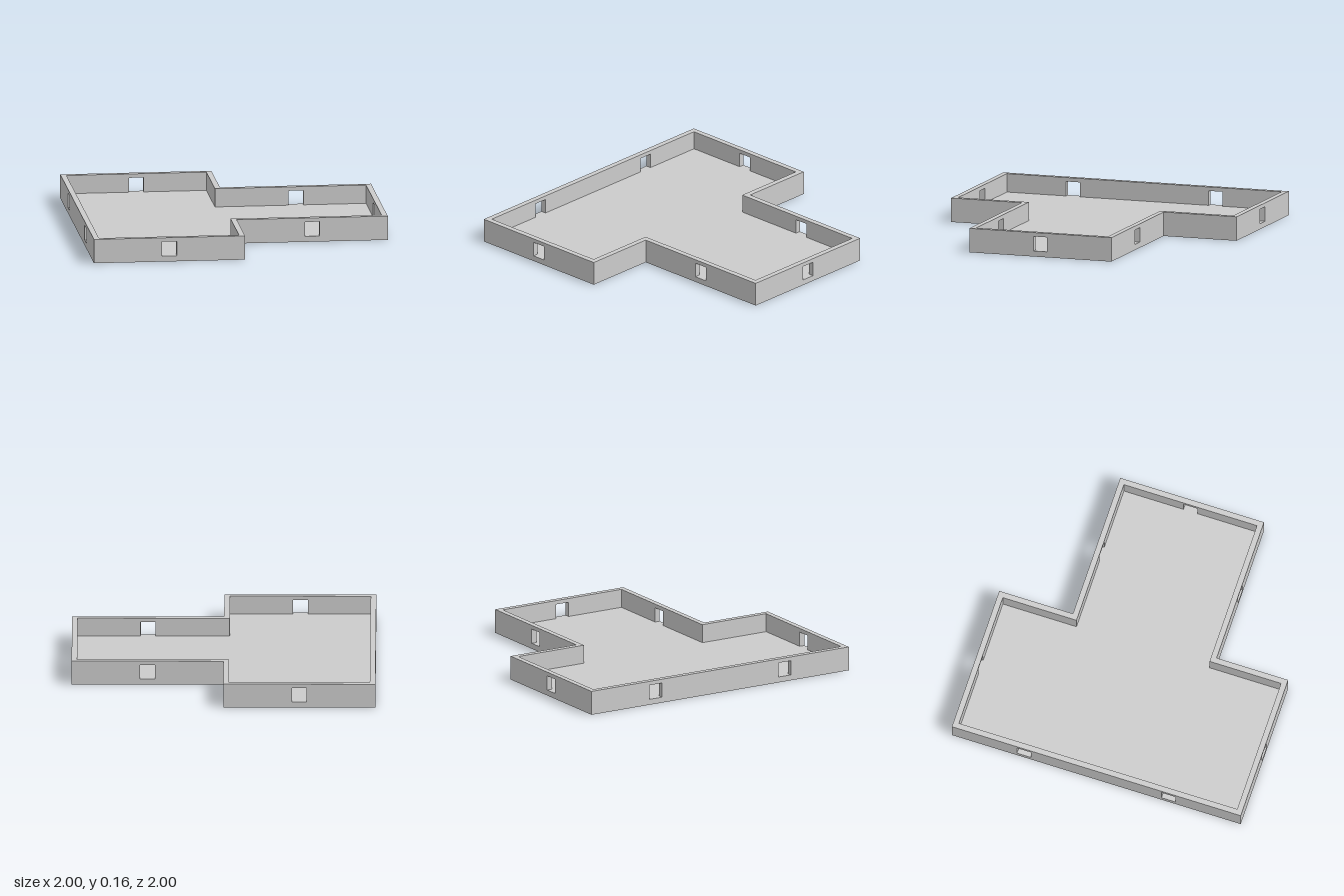
import * as THREE from 'three';

const HEIGHT = 0.16, THICK = 0.037, FLOOR = 0.037, WINDOW = 0.097;

// Outer plan, [x, z, window positions along the wall that starts here]
const PLAN = [
  [-1, 1, [0.5]], [0, 1, []], [0, 0.505, [0.5]], [1, 0.505, [0.497]],
  [1, -0.49, [0.5]], [0, -0.49, []], [0, -1, [0.5]], [-1, -1, [0.5, 1.5]],
];

function rect(path, x0, y0, x1, y1) {
  path.moveTo(x0, y0);
  path.lineTo(x1, y0);
  path.lineTo(x1, y1);
  path.lineTo(x0, y1);
  path.closePath();
  return path;
}

// Wall panel with window holes; its inner ends are shifted to form mitred corners
function wallGeometry(length, windows, startShift, endShift) {
  const shape = rect(new THREE.Shape(), 0, 0, length, HEIGHT);
  for (const u of windows) {
    shape.holes.push(rect(new THREE.Path(), u - WINDOW / 2, FLOOR, u + WINDOW / 2, FLOOR + WINDOW));
  }
  const geo = new THREE.ExtrudeGeometry(shape, { depth: THICK, bevelEnabled: false });
  geo.translate(0, 0, -THICK);
  const p = geo.attributes.position;
  for (let i = 0; i < p.count; i++) {
    if (p.getZ(i) > -THICK / 2) continue;
    const x = p.getX(i);
    if (x < 1e-4) p.setX(i, x + startShift);
    else if (x > length - 1e-4) p.setX(i, x - endShift);
  }
  geo.computeVertexNormals();
  return geo;
}

export function createModel() {
  const model = new THREE.Group();
  model.name = 'tShapedRoom';
  const material = new THREE.MeshStandardMaterial({ color: 0xcccccc });
  const n = PLAN.length;

  const corners = PLAN.map(([x, z]) => new THREE.Vector2(x, z));
  const dirs = corners.map((c, i) => corners[(i + 1) % n].clone().sub(c).normalize());
  // +THICK at outward corners, -THICK at inward ones
  const shifts = dirs.map((d, i) => {
    const prev = dirs[(i + n - 1) % n];
    return THICK * Math.sign(prev.y * d.x - prev.x * d.y);
  });

  // Walls
  PLAN.forEach(([x, z, windows], i) => {
    const next = (i + 1) % n;
    const length = corners[i].distanceTo(corners[next]);
    const wall = new THREE.Mesh(wallGeometry(length, windows, shifts[i], shifts[next]), material);
    wall.name = 'wall' + (i + 1);
    wall.position.set(x, 0, z);
    wall.rotation.y = Math.atan2(-dirs[i].y, dirs[i].x);
    model.add(wall);
  });

  // Floor slab filling the space between the walls
  const inner = corners.map((c, i) => {
    const a = dirs[(i + n - 1) % n], b = dirs[i];
    return new THREE.Vector2(c.x + THICK * (a.y + b.y), -(c.y - THICK * (a.x + b.x)));
  });
  const floorGeo = new THREE.ExtrudeGeometry(new THREE.Shape(inner), { depth: FLOOR, bevelEnabled: false });
  floorGeo.rotateX(-Math.PI / 2);
  const floor = new THREE.Mesh(floorGeo, material);
  floor.name = 'floor';
  model.add(floor);

  return model;
}
